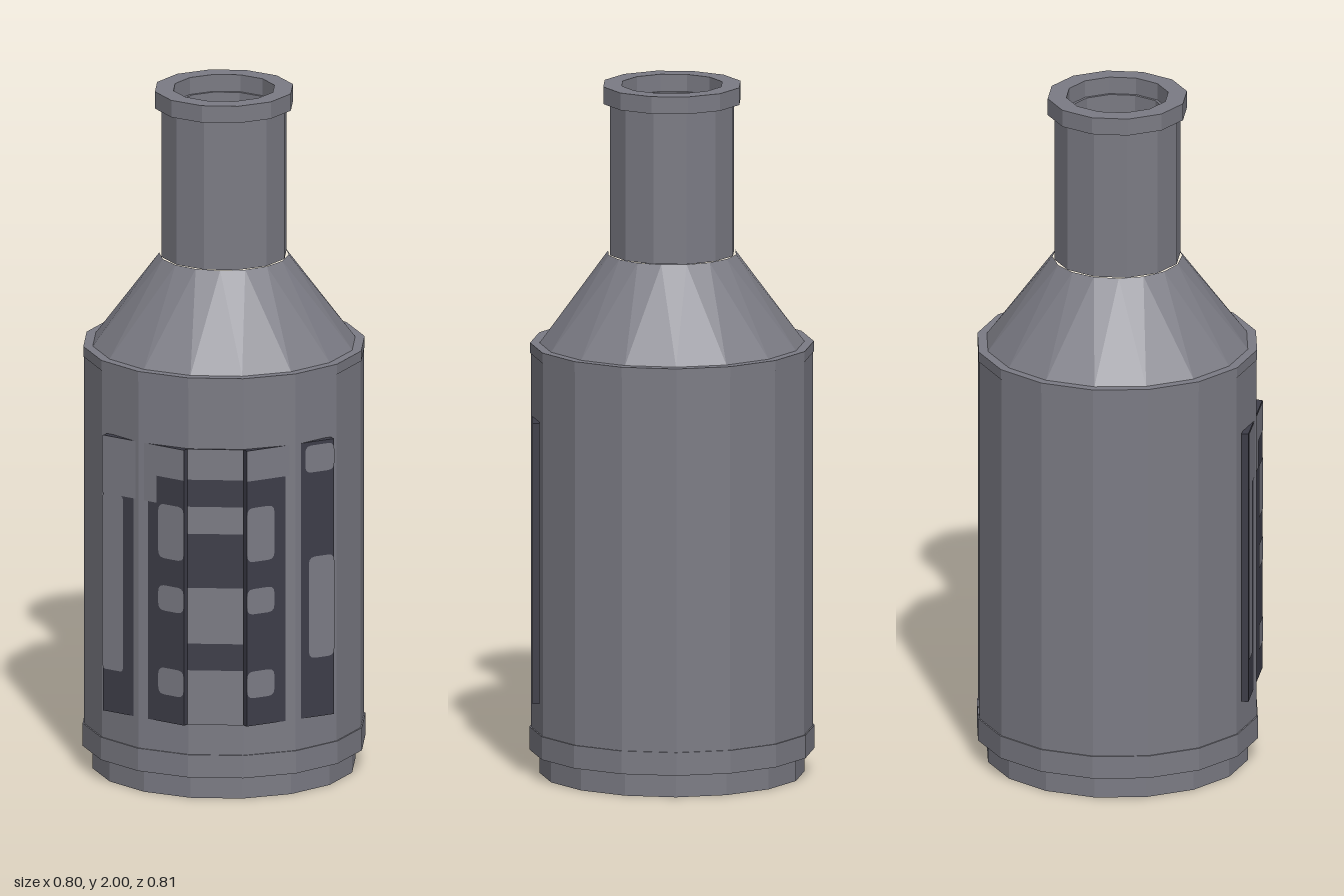
import * as THREE from 'three';

const grey = new THREE.MeshStandardMaterial({ color: 0x7b7b84 });
const dark = new THREE.MeshStandardMaterial({ color: 0x3d3d48 });
grey.name = 'bottleGrey';
dark.name = 'labelDark';

// Faceted normals for a low-poly look
function faceted(geometry) {
  const g = geometry.index ? geometry.toNonIndexed() : geometry;
  g.computeVertexNormals();
  return g;
}

function add(parent, name, geometry, material) {
  const mesh = new THREE.Mesh(geometry, material);
  mesh.name = name;
  parent.add(mesh);
  return mesh;
}

// Prism-like turned part with a flat side facing the front; profile is [radius, y]
function turned(profile, sides) {
  const points = profile.map(([r, y]) => new THREE.Vector2(r, y));
  return faceted(new THREE.LatheGeometry(points, sides, Math.PI / sides));
}

// Shoulder: two 16-sided rings, half a step apart, joined by triangles
function shoulderGeometry(n, r0, y0, r1, y1) {
  const at = (r, y, k) => {
    const a = (k / n) * Math.PI * 2;
    return [r * Math.sin(a), y, r * Math.cos(a)];
  };
  const positions = [];
  for (let i = 0; i < n; i++) {
    const a = at(r0, y0, i - 0.5), b = at(r0, y0, i + 0.5);
    const c = at(r1, y1, i), d = at(r1, y1, i + 1);
    positions.push(...a, ...b, ...c, ...b, ...d, ...c);
  }
  const g = new THREE.BufferGeometry();
  g.setAttribute('position', new THREE.Float32BufferAttribute(positions, 3));
  return faceted(g);
}

// Flat patch with rounded corners
function patchGeometry(x0, x1, y0, y1, r) {
  const s = new THREE.Shape();
  s.moveTo(x0 + r, y0);
  s.lineTo(x1 - r, y0);
  s.quadraticCurveTo(x1, y0, x1, y0 + r);
  s.lineTo(x1, y1 - r);
  s.quadraticCurveTo(x1, y1, x1 - r, y1);
  s.lineTo(x0 + r, y1);
  s.quadraticCurveTo(x0, y1, x0, y1 - r);
  s.lineTo(x0, y0 + r);
  s.quadraticCurveTo(x0, y0, x0 + r, y0);
  return new THREE.ShapeGeometry(s, 3);
}

const LOW = 0.225, HIGH = 1.04;

// Label board whose front runs from (xa, za) to (xb, zb); patches are [x0, x1, y0, y1, radius]
function labelBoard(name, xa, za, xb, zb, patches) {
  const board = new THREE.Group();
  board.name = name;
  const length = Math.hypot(xb - xa, zb - za);
  const angle = -Math.atan2(zb - za, xb - xa);
  const mid = (xa + xb) / 2, stretch = length / (xb - xa);
  const slab = add(board, 'labelSlab', new THREE.BoxGeometry(length, HIGH - LOW, 0.02), dark);
  slab.position.set(0, (LOW + HIGH) / 2, -0.01);
  for (const [x0, x1, y0, y1, r] of patches) {
    const g = patchGeometry((x0 - mid) * stretch, (x1 - mid) * stretch, y0, y1, r);
    add(board, 'labelPatch', g, grey).position.z = 0.002;
  }
  board.position.set(mid, 0, (za + zb) / 2);
  board.rotation.y = angle;
  return board;
}

export function createModel() {
  const model = new THREE.Group();
  model.name = 'bottle';
  const glass = new THREE.Group();
  glass.name = 'glass';
  glass.position.z = -0.008;
  model.add(glass);

  // Foot, body and rims
  add(glass, 'foot', turned([[0, 0], [0.378, 0], [0.378, 0.068]], 16), grey);
  add(glass, 'bottomBand', turned([[0.37, 0.068], [0.407, 0.068], [0.407, 0.135], [0.4, 0.135]], 16), grey);
  add(glass, 'body', turned([[0.403, 0.13], [0.403, 1.22]], 16), grey);
  add(glass, 'topBand', turned([[0.4, 1.22], [0.405, 1.22], [0.405, 1.25], [0.375, 1.25]], 16), grey);
  add(glass, 'shoulder', shoulderGeometry(16, 0.378, 1.25, 0.185, 1.51), grey);

  // Neck, lip and hollow mouth
  add(glass, 'neck', turned([[0.17, 1.51], [0.182, 1.51], [0.182, 1.95]], 12), grey);
  add(glass, 'lip', turned([[0.18, 1.95], [0.201, 1.95], [0.201, 2], [0.147, 2]], 12), grey);
  add(glass, 'mouth', turned([[0.147, 2], [0.147, 1.95], [0.139, 1.95], [0.139, 1.5], [0, 1.5]], 12), grey);

  // Label boards
  const bars = [[0.71, 0.87], [0.555, 0.63], [0.307, 0.386]];
  model.add(labelBoard('labelRight', -0.33, 0.255, -0.09, 0.405, [
    [-0.33, -0.09, 0.95, HIGH, 0],
    [-0.33, -0.17, 0.87, 0.95, 0],
    [-0.33, -0.27, 0.35, 0.87, 0.01],
    ...bars.map(([a, b]) => [-0.165, -0.09, a, b, 0.02]),
  ]));
  model.add(labelBoard('labelLeft', 0.09, 0.405, 0.33, 0.255, [
    [0.09, 0.22, 0.95, HIGH, 0],
    [0.25, 0.33, 0.95, 1.03, 0.02],
    [0.26, 0.33, 0.4, 0.7, 0.02],
    ...bars.map(([a, b]) => [0.09, 0.165, a, b, 0.02]),
  ]));
  model.add(labelBoard('labelCentre', -0.08, 0.392, 0.08, 0.392,
    [[0.95, HIGH], [0.79, 0.87], [0.465, 0.63], [LOW, 0.386]].map(([a, b]) => [-0.08, 0.08, a, b, 0])));
  return model;
}
